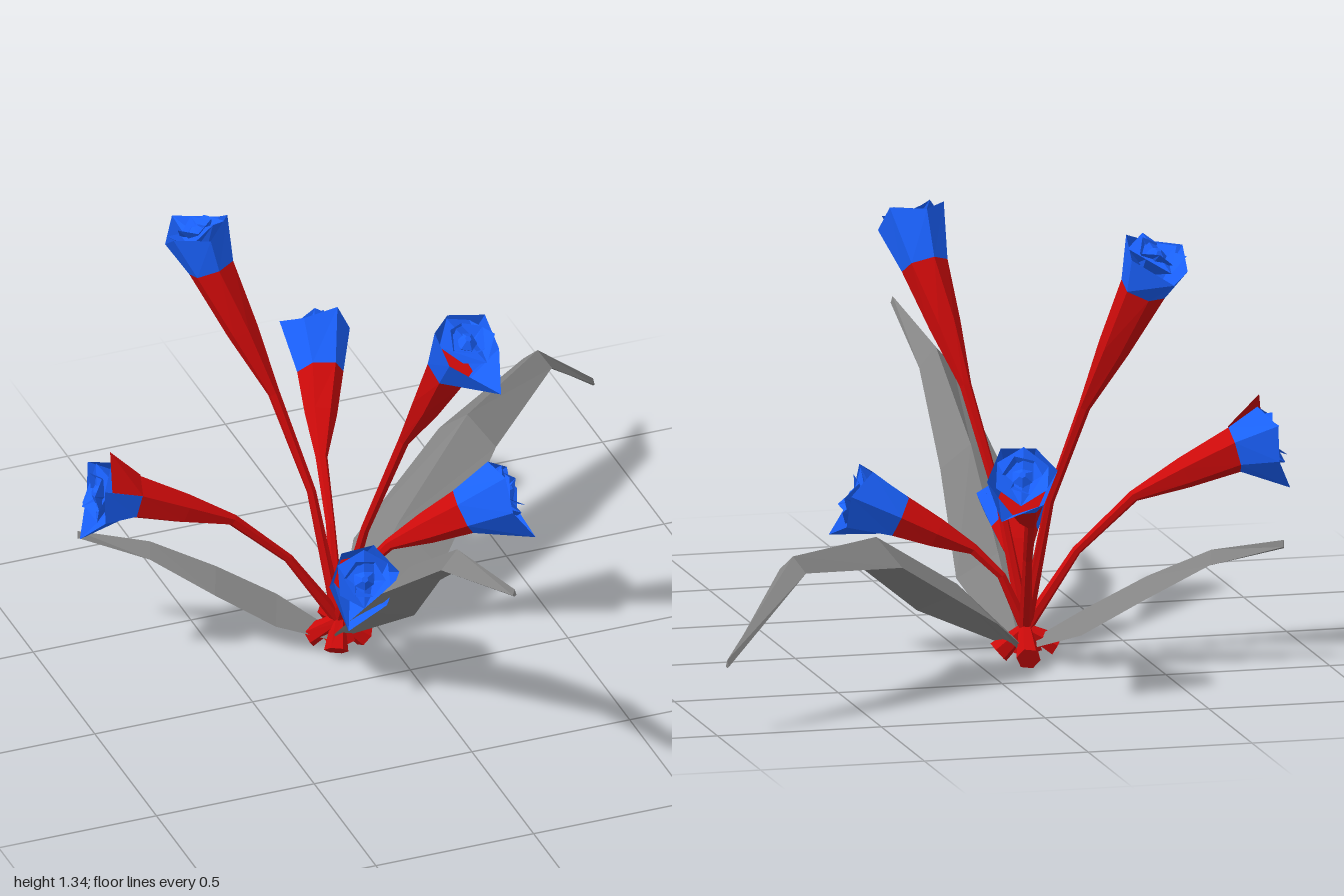
import * as THREE from 'three';

const V = (a) => new THREE.Vector3(...a);
const mat = (color) => new THREE.MeshStandardMaterial({ color, flatShading: true, side: THREE.DoubleSide });

// Skin a list of equal-length rings; optionally cap both ends
function loft(rings, caps = true) {
  const pos = [];
  const tri = (...p) => p.forEach((q) => pos.push(q.x, q.y, q.z));
  const n = rings[0].length;
  for (let k = 0; k + 1 < rings.length; k++) {
    for (let i = 0; i < n; i++) {
      const j = (i + 1) % n, a = rings[k], b = rings[k + 1];
      tri(a[i], a[j], b[j]);
      tri(a[i], b[j], b[i]);
    }
  }
  if (caps) {
    const first = rings[0], last = rings[rings.length - 1];
    for (let i = 1; i + 1 < n; i++) {
      tri(first[0], first[i + 1], first[i]);
      tri(last[0], last[i], last[i + 1]);
    }
  }
  const g = new THREE.BufferGeometry();
  g.setAttribute('position', new THREE.Float32BufferAttribute(pos, 3));
  g.computeVertexNormals();
  return g;
}

// Six-sided ring across a direction; corner 0 is the outward, lower one
function ring(centre, dir, radius, turn = 0, along = () => 0) {
  const t = dir.clone().normalize();
  const s = new THREE.Vector3(0, 1, 0).cross(t).normalize();
  const n = t.clone().cross(s);
  return Array.from({ length: 6 }, (_, i) => {
    const a = i * Math.PI / 3 - Math.PI / 2 + turn;
    const r = typeof radius === 'function' ? radius(i) : radius;
    return centre.clone().addScaledVector(s, Math.cos(a) * r)
      .addScaledVector(n, Math.sin(a) * r).addScaledVector(t, along(i));
  });
}

const red = mat(0xcc0a0a), blue = mat(0x1a62ff), grey = mat(0x858585);
const STEM_RADII = [0.036, 0.02, 0.014, 0.018, 0.048, 0.07];
const JAG = [0.015, -0.01, 0.02, -0.015, 0.02, -0.005];

function flower({ foot, path, rim, turn = -0.4, droop = 0.16, redPetal }) {
  const g = new THREE.Group();
  g.name = 'flower';
  const add = (name, geo, m) => {
    const mesh = new THREE.Mesh(geo, m);
    mesh.name = name;
    g.add(mesh);
  };

  // Stem: flared foot, thin stalk, widening throat
  const pts = [V(foot), V([-0.15, 0.1, -0.2]), ...path.map(V)];
  const end = pts[pts.length - 1], lip = V(rim);
  pts.splice(4, 0, pts[3].clone().lerp(end, 0.5));
  const axis = lip.clone().sub(end).normalize();
  const rings = pts.map((p, i) => {
    const d = i === 5 ? axis : pts[i + 1].clone().sub(pts[Math.max(i - 1, 0)]);
    return ring(p, d, STEM_RADII[i], turn);
  });
  rings[0].forEach((p) => { p.y = Math.max(p.y, 0); });
  add('stem', loft(rings), red);

  // Outer petals with one long drooping petal
  const lipRing = ring(lip, axis, (i) => (i === 0 ? droop : 0.105), turn, (i) => JAG[i]);
  add('outerPetals', loft([rings[5], lipRing], false), blue);

  // Nested inner petals: open, shallow layers twisted against each other
  [[0.088, 0.04, -0.045, 0.0, 0.35], [0.06, 0.02, -0.03, 0.012, 0.8]].forEach(([r, r0, low, high, twist], k) => {
    const at = (h) => lip.clone().addScaledVector(axis, h);
    add('innerPetals', loft([
      ring(at(low), axis, r0, turn + twist - 0.3),
      ring(at(high), axis, r, turn + twist, (i) => JAG[(i + 2 * k + 1) % 6]),
    ], k === 0), blue);
  });
  add('bud', loft([
    ring(lip.clone().addScaledVector(axis, -0.04), axis, 0.02),
    ring(lip, axis, 0.034),
    ring(lip.clone().addScaledVector(axis, 0.018), axis, 0.01),
  ]), blue);

  // One red petal lying over the upper side of the cup
  if (redPetal) {
    const tips = ring(lip, axis, (i) => (i === 3 ? 0.14 : 0.115), turn, () => 0.0);
    const low = ring(end, axis, 0.074, turn);
    add('redPetal', loft([low.slice(2, 4), tips.slice(2, 4)], false), red);
  }
  return g;
}

// Folded leaf: [ridge x, y, z, half width, drop of the edges]
function leaf(stations) {
  const root = V(stations[0]), tip = V(stations[stations.length - 1]);
  const d = tip.sub(root).setY(0).normalize();
  const side = new THREE.Vector3(d.z, 0, -d.x);
  const rings = stations.map(([x, y, z, w, drop]) => {
    const p = new THREE.Vector3(x, y, z);
    const edge = (s) => p.clone().addScaledVector(side, s * w).setY(y - drop);
    return [edge(1), p, edge(-1), p.clone().setY(y - Math.min(drop + 0.005, 0.03))];
  });
  const mesh = new THREE.Mesh(loft(rings), grey);
  mesh.name = 'leaf';
  return mesh;
}

export function createModel() {
  const model = new THREE.Group();
  model.name = 'floweringPlant';

  const flowers = [
    // Two tall flowers
    { foot: [-0.16, 0.03, -0.22], path: [[-0.1, 0.45, -0.11], [-0.02, 0.8, 0.0], [0.06, 1.13, 0.17]], rim: [0.08, 1.26, 0.25], turn: 0, droop: 0.2 },
    { foot: [-0.14, 0.03, -0.18], path: [[-0.2, 0.5, -0.29], [-0.28, 0.8, -0.39], [-0.42, 1.18, -0.54]], rim: [-0.45, 1.29, -0.58], turn: -0.6, droop: 0.2 },
    // Two middle flowers
    { foot: [-0.07, 0.03, -0.19], path: [[-0.3, 0.33, -0.22], [-0.47, 0.49, -0.24], [-0.77, 0.62, -0.27]], rim: [-0.88, 0.65, -0.28], turn: 0, redPetal: true },
    { foot: [-0.18, 0.03, -0.14], path: [[-0.12, 0.34, -0.34], [-0.09, 0.48, -0.49], [0.0, 0.62, -0.73]], rim: [0.03, 0.7, -0.85] },
    // Two low flowers
    { foot: [-0.24, 0.05, -0.22], path: [[-0.08, 0.26, -0.19], [0.0, 0.34, -0.17], [0.21, 0.44, -0.11]], rim: [0.34, 0.5, -0.08] },
    { foot: [-0.12, 0.04, -0.35], path: [[-0.15, 0.19, -0.16], [-0.155, 0.27, -0.11], [-0.17, 0.36, 0.0]], rim: [-0.19, 0.42, 0.11] },
  ];
  flowers.forEach((f) => model.add(flower(f)));

  const leaves = [
    [[-0.13, 0.06, -0.2, 0.03, 0.02], [-0.13, 0.28, 0.04, 0.13, 0.07], [-0.115, 0.555, 0.3, 0.095, 0.07],
      [-0.09, 0.785, 0.61, 0.052, 0.06], [-0.06, 0.86, 1.0, 0.006, 0.02]],
    [[-0.13, 0.06, -0.2, 0.03, 0.02], [0.1, 0.28, -0.36, 0.154, 0.1], [0.4, 0.48, -0.56, 0.1, 0.08],
      [0.72, 0.49, -0.81, 0.05, 0.045], [0.97, 0.23, -1.0, 0.006, 0.02]],
    [[-0.16, 0.06, -0.2, 0.025, 0.02], [-0.31, 0.17, -0.29, 0.08, 0.065], [-0.48, 0.27, -0.35, 0.07, 0.06],
      [-0.66, 0.355, -0.42, 0.038, 0.04], [-0.86, 0.39, -0.5, 0.006, 0.02]],
  ];
  leaves.forEach((l) => model.add(leaf(l)));
  return model;
}
